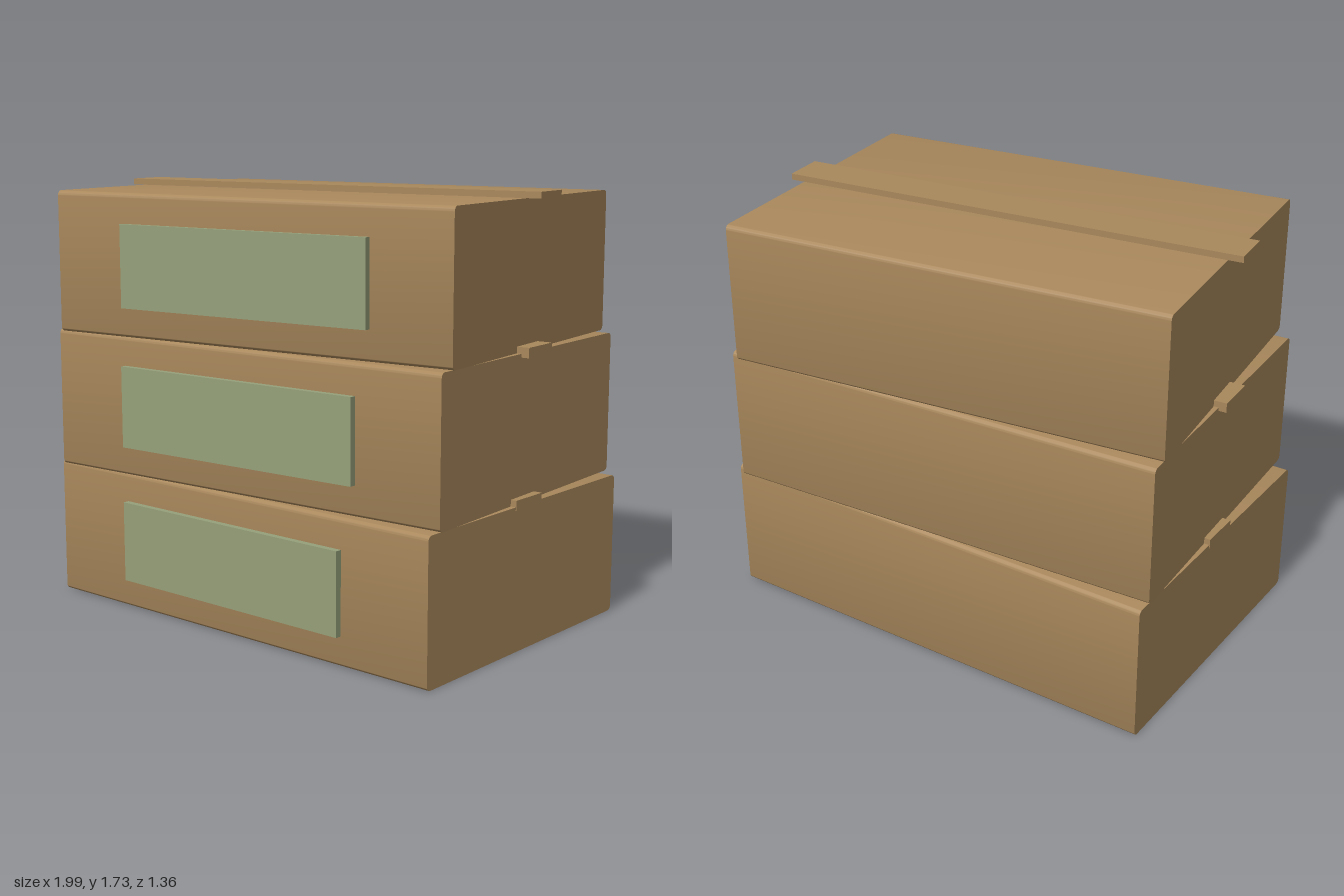
import * as THREE from 'three';
import { toCreasedNormals } from 'three/addons/utils/BufferGeometryUtils.js';

const cardboard = new THREE.MeshStandardMaterial({ color: 0xa9885c });
cardboard.name = 'cardboard';
const labelGreen = new THREE.MeshStandardMaterial({ color: 0x96a07a });
labelGreen.name = 'label green';

const HEIGHT = 0.567, DEPTH = 1.245, RADIUS = 0.02;

// Carton body: a round-cornered end profile swept along x
function cartonGeometry(width) {
  const z = DEPTH / 2, r = RADIUS, h = HEIGHT;
  const s = new THREE.Shape();
  s.moveTo(-z + r, 0);
  s.lineTo(z - r, 0);
  s.absarc(z - r, r, r, -Math.PI / 2, 0);
  s.lineTo(z, h - r);
  s.absarc(z - r, h - r, r, 0, Math.PI / 2);
  s.lineTo(-z + r, h);
  s.absarc(-z + r, h - r, r, Math.PI / 2, Math.PI);
  s.lineTo(-z, r);
  s.absarc(-z + r, r, r, Math.PI, Math.PI * 1.5);
  const g = new THREE.ExtrudeGeometry(s, { depth: width, bevelEnabled: false, curveSegments: 4 });
  g.translate(0, 0, -width / 2);
  g.rotateY(Math.PI / 2);
  return toCreasedNormals(g, 0.9);
}

function slab(name, material, w, h, d, x, y, z) {
  const mesh = new THREE.Mesh(new THREE.BoxGeometry(w, h, d), material);
  mesh.name = name;
  mesh.position.set(x, y, z);
  return mesh;
}

export function createModel() {
  const model = new THREE.Group();
  model.name = 'cartonStack';

  // Three cartons, each narrower and turned a little; tape spans [low, high] above the carton base
  const cartons = [
    { name: 'bottomCarton', width: 1.923, turn: -0.06, low: 0.553, high: 0.592 },
    { name: 'middleCarton', width: 1.864, turn: 0, low: 0.553, high: 0.592 },
    { name: 'topCarton', width: 1.81, turn: 0.06, low: 0.567, high: 0.592 },
  ];
  cartons.forEach(({ name, width, turn, low, high }, i) => {
    const carton = new THREE.Group();
    carton.name = name;
    carton.position.y = i * HEIGHT;
    carton.rotation.y = turn;

    const body = new THREE.Mesh(cartonGeometry(width), cardboard);
    body.name = 'body';
    carton.add(body);

    // Lid strip overhanging both ends, and the front label
    carton.add(slab('lidStrip', cardboard, 1.928, high - low, 0.17, 0, (low + high) / 2, 0));
    carton.add(slab('frontLabel', labelGreen, 1.13, 0.328, 0.03, 0, 0.283, DEPTH / 2 + 0.011));
    model.add(carton);
  });
  return model;
}
